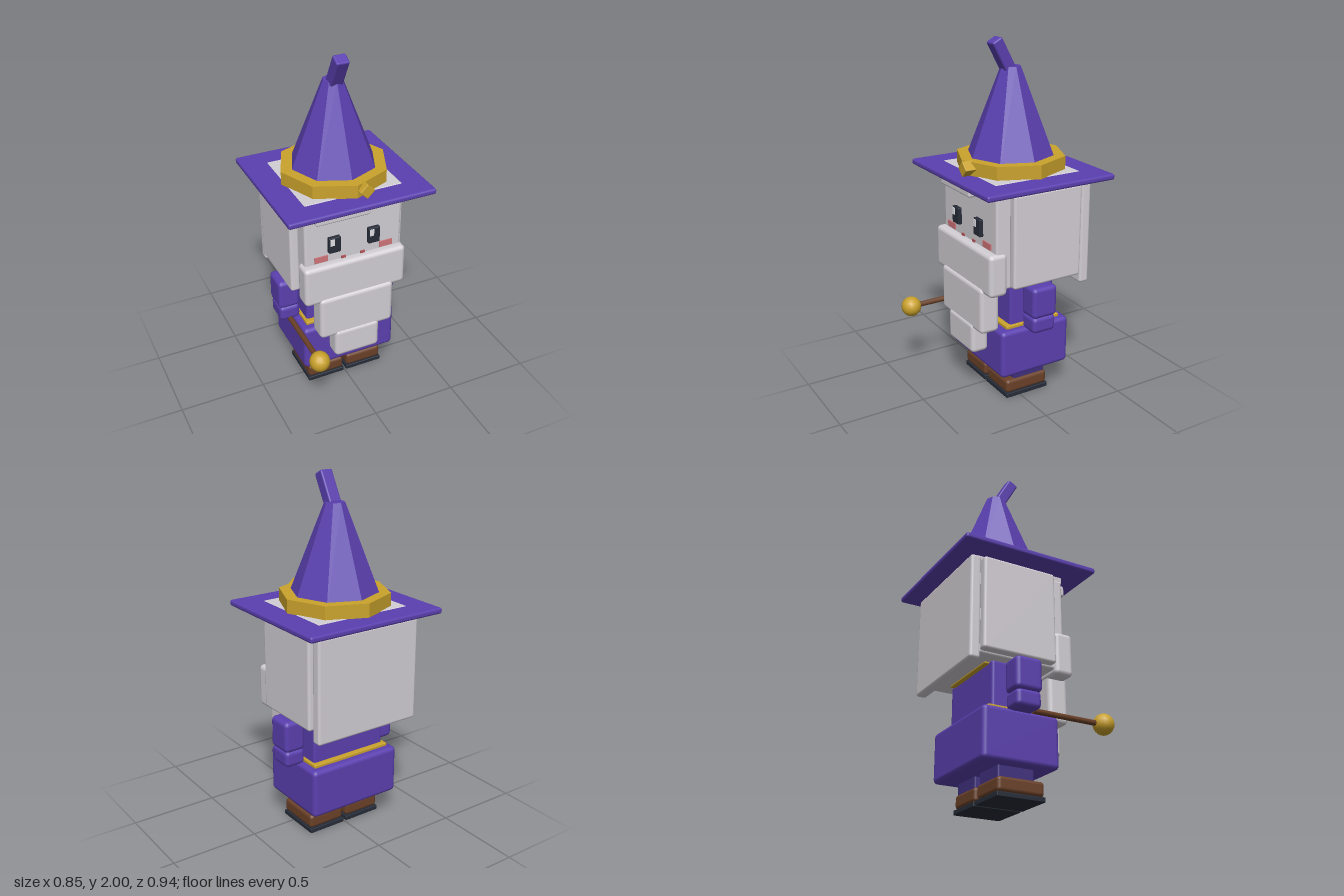
import * as THREE from 'three';
import { RoundedBoxGeometry } from 'three/addons/geometries/RoundedBoxGeometry.js';

export function createModel() {
  const model = new THREE.Group();
  model.name = 'wizard';

  const mat = (name, color, flat = false) => {
    const m = new THREE.MeshStandardMaterial({ color });
    m.name = name;
    m.flatShading = flat;
    return m;
  };
  const purple = mat('robe purple', 0x5b40b0);
  const darkPurple = mat('dark purple', 0x40307f);
  const gold = mat('gold', 0xcaa22c);
  const white = mat('pale grey', 0xd3cfd5);
  const brown = mat('brown', 0x6b4128);
  const dark = mat('dark slate', 0x262c38);
  const pink = mat('blush pink', 0xcf7479);
  const red = mat('mouth red', 0xb5565a);
  const glint = mat('eye glint', 0xeeeef4);

  const add = (name, geometry, material, x, y, z) => {
    const mesh = new THREE.Mesh(geometry, material);
    mesh.name = name;
    mesh.position.set(x, y, z);
    model.add(mesh);
    return mesh;
  };
  // Box given by its extents; r rounds the edges, r = 0 leaves them sharp
  const box = (name, material, [x0, x1], [y0, y1], [z0, z1], r = 0.015) => {
    const w = x1 - x0, h = y1 - y0, d = z1 - z0;
    const geometry = r > 0
      ? new RoundedBoxGeometry(w, h, d, 2, Math.min(r, w * 0.4, h * 0.4, d * 0.4))
      : new THREE.BoxGeometry(w, h, d);
    return add(name, geometry, material, (x0 + x1) / 2, (y0 + y1) / 2, (z0 + z1) / 2);
  };
  // Faceted eight-sided ring or cone
  const octagon = (name, material, top, bottom, y0, y1) => {
    let g = new THREE.CylinderGeometry(top, bottom, y1 - y0, 8).toNonIndexed();
    g.computeVertexNormals();
    return add(name, g, material, 0, (y0 + y1) / 2, -0.075);
  };

  // Mirrored limbs, hair panels and cheeks
  for (const s of [-1, 1]) {
    const side = s > 0 ? 'left' : 'right';
    const span = (a, b) => (s > 0 ? [a, b] : [-b, -a]);
    box(`${side}Sole`, dark, span(0.008, 0.237), [0, 0.026], [-0.185, 0.09], 0.004);
    box(`${side}Boot`, brown, span(0.012, 0.235), [0.026, 0.105], [-0.18, 0.088], 0.02);
    box(`${side}Leg`, darkPurple, span(0.025, 0.22), [0.09, 0.2], [-0.172, 0.035], 0.01);
    box(`${side}UpperArm`, purple, span(0.245, 0.373), [0.52, 0.7], [-0.15, 0.005], 0.025);
    box(`${side}Forearm`, purple, span(0.245, 0.368), [0.43, 0.525], [-0.145, 0], 0.025);
    box(`${side}SideHair`, white, span(0.285, 0.34), [0.71, 1.235], [-0.32, 0.11], 0.015);
    box(`${side}Cheek`, pink, span(0.155, 0.234), [0.92, 0.955], [0.186, 0.195], 0);
    box(`${side}MouthCorner`, red, s > 0 ? [0.04, 0.066] : [-0.076, -0.05], [0.9, 0.926], [0.186, 0.195], 0);
    // Eye with a glint on the same side of each pupil
    const ex = s > 0 ? 0.115 : -0.12;
    box(`${side}Eye`, dark, [ex - 0.035, ex + 0.035], [0.97, 1.067], [0.18, 0.21], 0.006);
    box(`${side}EyeGlint`, glint, [ex - 0.029, ex - 0.004], [1.02, 1.06], [0.207, 0.214], 0);
  }

  // Robe
  box('robeSkirt', purple, [-0.285, 0.285], [0.16, 0.44], [-0.29, 0.15], 0.025);
  box('torso', purple, [-0.235, 0.235], [0.42, 0.705], [-0.215, 0.07], 0.015);
  box('belt', gold, [-0.25, 0.25], [0.43, 0.457], [-0.245, 0.1], 0.006);
  box('collar', gold, [-0.2, 0.2], [0.69, 0.715], [-0.24, 0.095], 0.006);

  // Head and hair
  box('head', white, [-0.288, 0.288], [0.7, 1.235], [-0.325, 0.188], 0.015);
  box('backHair', white, [-0.325, 0.325], [0.65, 1.235], [-0.39, -0.33], 0.015);
  box('hairCap', white, [-0.285, 0.285], [1.22, 1.293], [-0.336, 0.19], 0.006);
  box('fringe', white, [-0.24, 0.08], [1.175, 1.24], [0.16, 0.235], 0.012);
  box('sideFringe', white, [0.06, 0.195], [1.2, 1.245], [0.16, 0.228], 0.012);

  // Beard in three steps
  box('upperBeard', white, [-0.307, 0.302], [0.67, 0.912], [0.125, 0.235], 0.025);
  box('middleBeard', white, [-0.225, 0.225], [0.43, 0.7], [0.13, 0.248], 0.025);
  box('beardTip', white, [-0.138, 0.138], [0.28, 0.46], [0.15, 0.256], 0.025);

  // Hat
  box('hatBrim', purple, [-0.425, 0.425], [1.257, 1.29], [-0.47, 0.32], 0.012);
  octagon('hatBand', gold, 0.305, 0.305, 1.285, 1.366);
  octagon('hatCone', purple, 0.055, 0.268, 1.295, 1.842);
  const tip = add('hatTip', new RoundedBoxGeometry(0.075, 0.185, 0.065, 2, 0.01), purple, 0, 1.905, -0.015);
  tip.rotation.x = 0.5;
  const buckle = add('hatBuckle', new RoundedBoxGeometry(0.062, 0.062, 0.065, 2, 0.004), gold, 0.047, 1.33, 0.222);
  buckle.rotation.z = Math.PI / 4;

  // Wand held forward in the right hand
  const rod = add('wandRod', new THREE.CylinderGeometry(0.016, 0.016, 0.4, 8), brown, -0.308, 0.436, 0.18);
  rod.rotation.x = Math.PI / 2;
  add('wandOrb', new THREE.SphereGeometry(0.058, 14, 10), gold, -0.308, 0.436, 0.41);

  return model;
}
